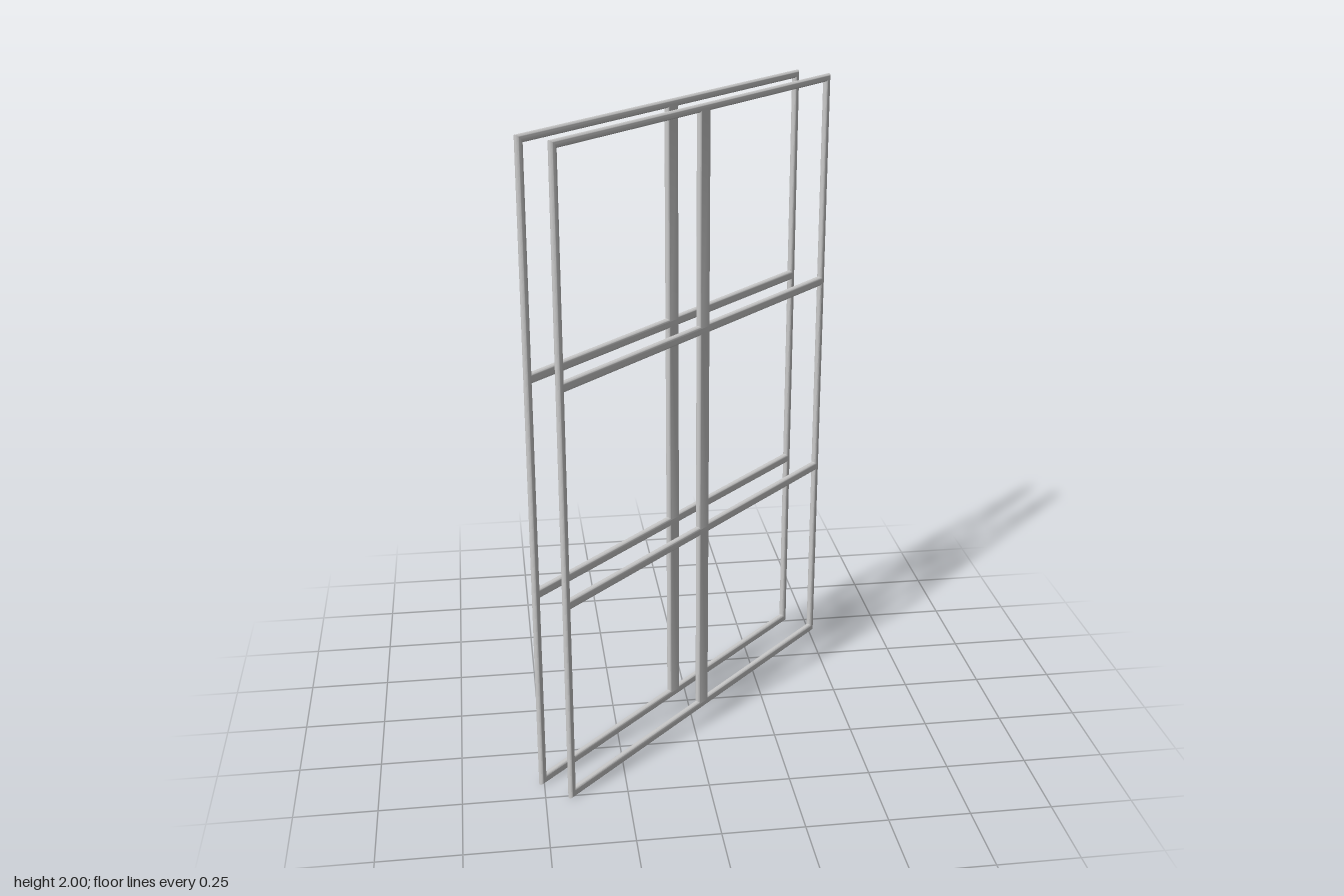
import * as THREE from 'three';
import { toCreasedNormals } from 'three/addons/utils/BufferGeometryUtils.js';

const HALF_W = 0.666, HEIGHT = 2, DEPTH = 0.02, ROUND = 0.0095;
const STILE = 0.024, MULLION = 0.052;
// Bottom and top edge of each row of openings
const ROWS = [[0.03, 0.634], [0.666, 1.302], [1.334, 1.976]];

function rectangle(target, x0, y0, x1, y1) {
  target.moveTo(x0, y0);
  target.lineTo(x1, y0);
  target.lineTo(x1, y1);
  target.lineTo(x0, y1);
  target.closePath();
  return target;
}

// Frame of rounded bars with two columns of three openings
function frameGeometry() {
  const shape = rectangle(new THREE.Shape(), -HALF_W, 0, HALF_W, HEIGHT);
  const inner = MULLION / 2, outer = HALF_W - STILE;
  for (const [y0, y1] of ROWS) {
    shape.holes.push(rectangle(new THREE.Path(), -outer, y0, -inner, y1));
    shape.holes.push(rectangle(new THREE.Path(), inner, y0, outer, y1));
  }
  const geometry = new THREE.ExtrudeGeometry(shape, {
    depth: DEPTH - 2 * ROUND,
    bevelEnabled: true,
    bevelThickness: ROUND,
    bevelSize: ROUND,
    bevelOffset: -ROUND,
    bevelSegments: 5,
  });
  geometry.translate(0, 0, ROUND - DEPTH / 2);
  return toCreasedNormals(geometry, Math.PI / 6);
}

export function createModel() {
  const group = new THREE.Group();
  group.name = 'windowFrames';
  const material = new THREE.MeshStandardMaterial({ color: 0xcccccc });
  const geometry = frameGeometry();

  // Two parallel frames, set diagonally
  for (const [name, side] of [['frontFrame', 1], ['backFrame', -1]]) {
    const frame = new THREE.Mesh(geometry, material);
    frame.name = name;
    frame.rotation.y = Math.PI / 4;
    frame.position.set(side * 0.042, 0, side * 0.042);
    group.add(frame);
  }
  return group;
}
